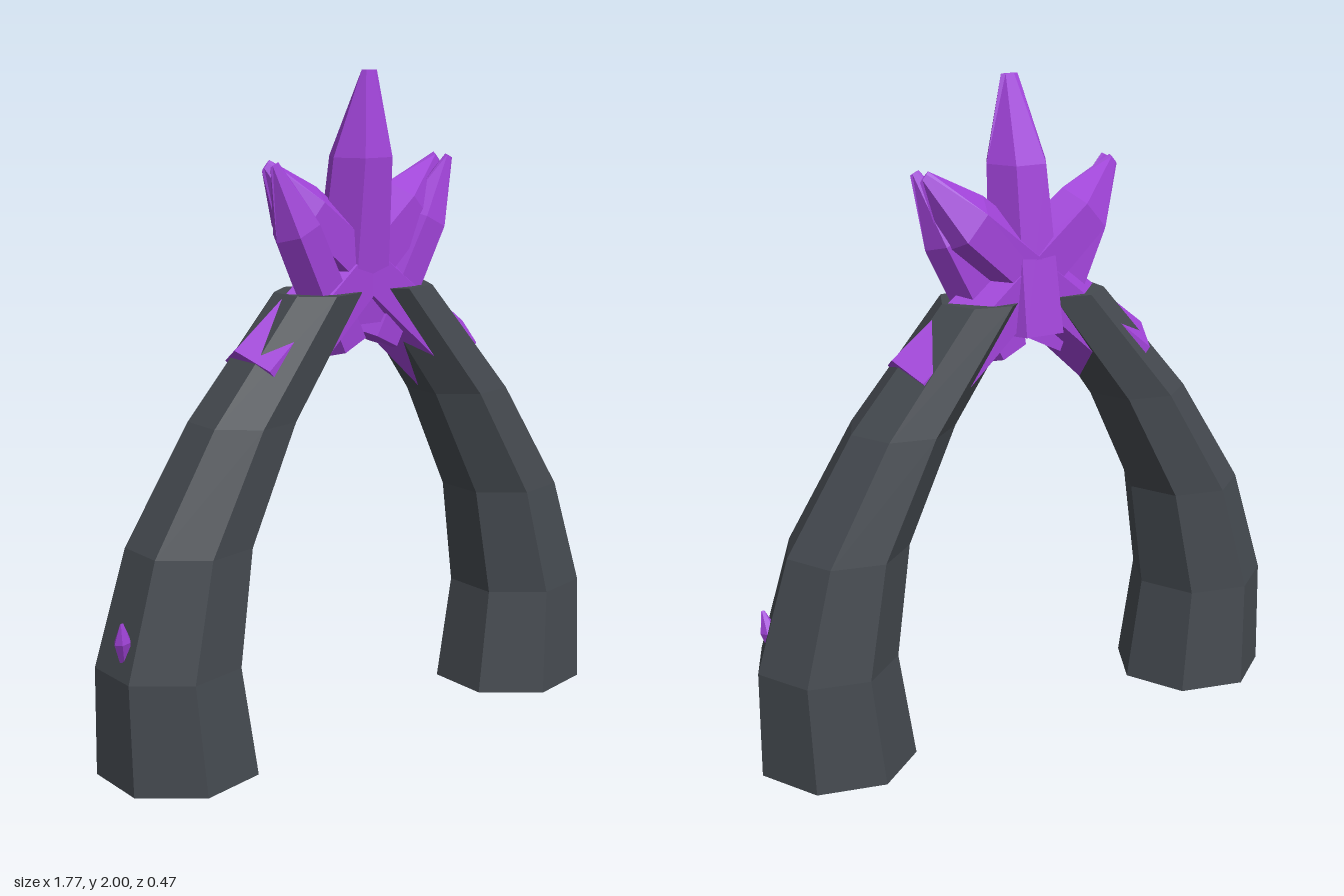
import * as THREE from 'three';

const stone = new THREE.MeshStandardMaterial({ color: 0x454a50 });
stone.name = 'dark stone';
const violet = new THREE.MeshStandardMaterial({ color: 0xa043d8 });
violet.name = 'violet crystal';

// Joins rings of points into a closed, faceted solid (rings run anticlockwise around the axis)
function loft(name, rings, material) {
  const pos = [];
  const tri = (a, b, c) => pos.push(...a.toArray(), ...b.toArray(), ...c.toArray());
  const n = rings[0].length;
  for (let i = 0; i < rings.length - 1; i++) {
    const a = rings[i], b = rings[i + 1];
    for (let k = 0; k < n; k++) {
      const m = (k + 1) % n;
      tri(a[k], a[m], b[m]);
      tri(a[k], b[m], b[k]);
    }
  }
  const bottom = rings[0], top = rings[rings.length - 1];
  for (let k = 1; k < n - 1; k++) {
    tri(bottom[0], bottom[k + 1], bottom[k]);
    tri(top[0], top[k], top[k + 1]);
  }
  const geo = new THREE.BufferGeometry();
  geo.setAttribute('position', new THREE.Float32BufferAttribute(pos, 3));
  geo.computeVertexNormals();
  const mesh = new THREE.Mesh(geo, material);
  mesh.name = name;
  return mesh;
}

// One polygon ring; flat squashes it along v
function ring(center, r, sides, u, v, flat = 1) {
  return Array.from({ length: sides }, (_, k) => {
    const t = (k / sides) * Math.PI * 2;
    return center.clone()
      .addScaledVector(u, r * Math.cos(t))
      .addScaledVector(v, r * Math.sin(t) * flat);
  });
}

// Seven-sided pillar curving inward: [x, y, radius]
const pillarPath = [
  [0.65, 0, 0.241], [0.675, 0.33, 0.215], [0.598, 0.67, 0.187],
  [0.41, 1.01, 0.16], [0.135, 1.36, 0.133],
];
function pillar(name, side) {
  const u = new THREE.Vector3(1, 0, 0), v = new THREE.Vector3(0, 0, -1);
  const rings = pillarPath.map(([x, y, r]) =>
    ring(new THREE.Vector3(side * x, y, 0), r, 7, u, v));
  return loft(name, rings, stone);
}

// Six-sided crystal from base, shoulder and chisel tip: [x, y, z, radius]
function crystal(name, side, base, shoulder, tip) {
  const pts = [base, shoulder, tip].map(([x, y, z]) => new THREE.Vector3(side * x, y, z));
  const axis = pts[1].clone().sub(pts[0]).setZ(0).normalize();
  const u = new THREE.Vector3(axis.y, -axis.x, 0);
  const v = axis.clone().cross(u);
  const rings = [base, shoulder, tip].map((p, i) =>
    ring(pts[i], p[3], 6, u, v, i === 2 ? 0.15 : 1));
  return loft(name, rings, violet);
}

export function createModel() {
  const group = new THREE.Group();
  group.name = 'crystalArch';
  const arch = new THREE.Group();
  arch.name = 'arch';
  arch.position.x = -0.007;
  group.add(arch);

  // Upright crystal at the crown, leaning slightly forward
  arch.add(crystal('crownCrystal', 1,
    [0, 1.26, -0.03, 0.125], [0, 1.75, 0.03, 0.1], [0, 2, 0.07, 0.028]));

  for (const [side, label] of [[1, 'left'], [-1, 'right']]) {
    arch.add(pillar(label + 'Pillar', side));
    // Long crystal crossing the crown from the opposite shoulder
    arch.add(crystal(label + 'CrossingCrystal', side,
      [-0.35, 1.115, 0, 0.13], [0.2, 1.59, -0.01, 0.1], [0.32, 1.735, 0, 0.02]));
    // Steeper crystal beside it
    arch.add(crystal(label + 'SideCrystal', side,
      [0.06, 1.2, 0.01, 0.085], [0.235, 1.55, 0.03, 0.078], [0.325, 1.74, 0.05, 0.015]));
    // Small splinter on the outside of the pillar
    const x = side > 0 ? 0.83 : 0.848;
    arch.add(crystal(label + 'Splinter', side,
      [x - 0.005, 0.38, 0.03, 0.015], [x + 0.005, 0.44, 0.04, 0.026], [x + 0.015, 0.5, 0.055, 0.005]));
  }
  return group;
}
